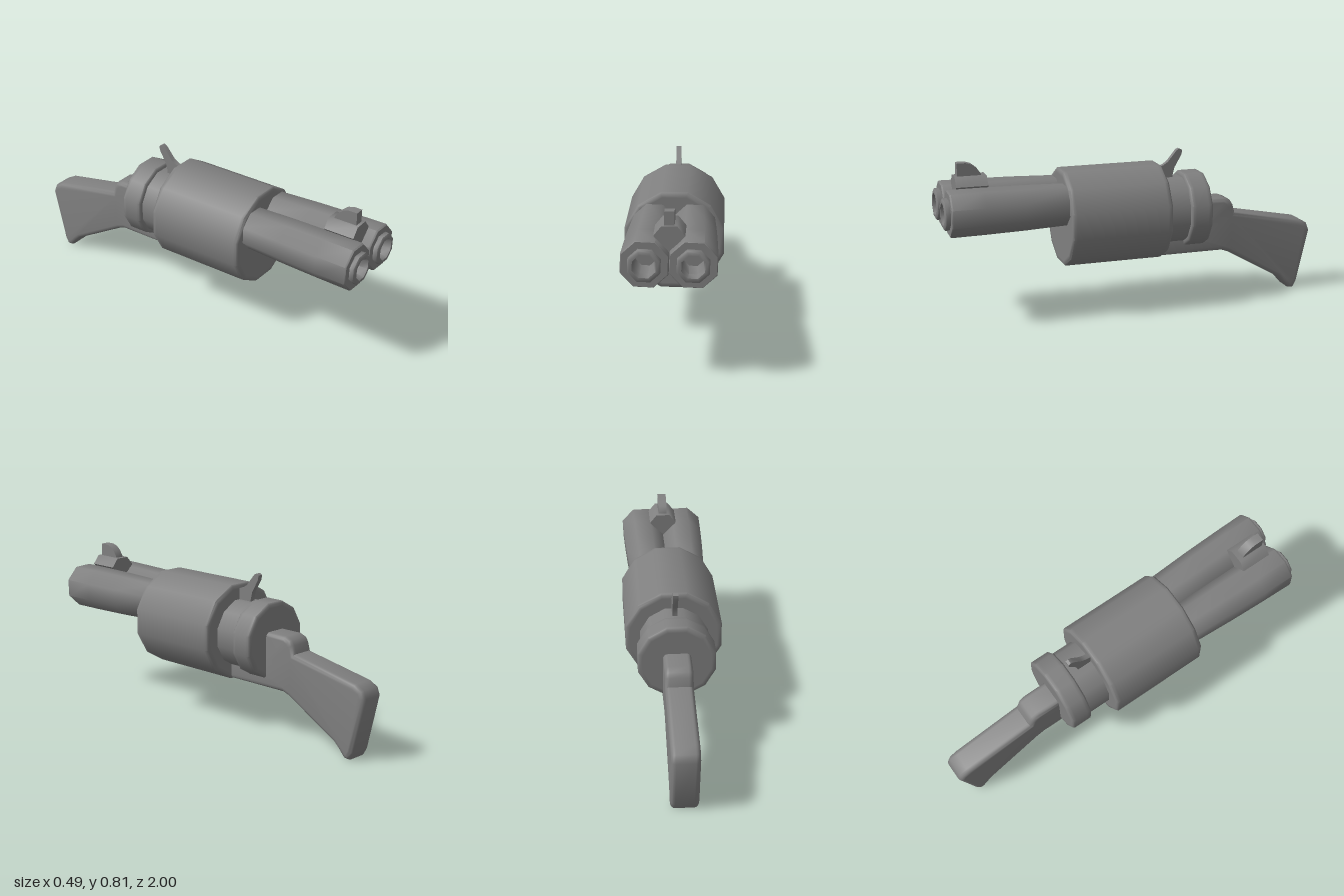
import * as THREE from 'three';
import { toCreasedNormals } from 'three/addons/utils/BufferGeometryUtils.js';

const material = new THREE.MeshStandardMaterial({ color: 0x808080 });

function addMesh(group, name, geometry, crease = 0.9) {
  const mesh = new THREE.Mesh(toCreasedNormals(geometry, crease), material);
  mesh.name = name;
  group.add(mesh);
  return mesh;
}

// Faceted solid turned around the z axis; profile is [flat radius, z], back to front
function turned(profile, sides) {
  const k = 1 / Math.cos(Math.PI / sides);
  const points = profile.map(([r, z]) => new THREE.Vector2(r * k, z));
  return new THREE.LatheGeometry(points, sides, Math.PI / sides).rotateX(Math.PI / 2);
}

// Softly bevelled disc; the extra rings keep the flat faces evenly shaded
function bevelledDisc(radius, back, front, bevel) {
  const inner = radius - 3 * bevel;
  return turned([
    [0, back], [inner, back], [radius - bevel, back], [radius, back + bevel],
    [radius, back + 3 * bevel], [radius, front - 3 * bevel],
    [radius, front - bevel], [radius - bevel, front], [inner, front], [0, front],
  ], 12);
}

function extruded(points, depth, bevel, segments = 1) {
  const shape = new THREE.Shape(points.map(([x, y]) => new THREE.Vector2(x, y)));
  return new THREE.ExtrudeGeometry(shape, {
    depth: depth - 2 * bevel, bevelEnabled: bevel > 0, bevelSize: bevel,
    bevelThickness: bevel, bevelOffset: -bevel, bevelSegments: segments,
  }).translate(0, 0, bevel - depth / 2);
}

// Side silhouette given as [z, y], centred on x = 0
function sidePlate(points, width, bevel, segments) {
  return extruded(points, width, bevel, segments).rotateY(-Math.PI / 2);
}

export function createModel() {
  const model = new THREE.Group();
  model.name = 'doubleBarrelGun';

  // Drum and the rear receiver discs
  addMesh(model, 'drum', bevelledDisc(0.244, -0.148, 0.38, 0.008)).position.y = 0.494;
  addMesh(model, 'receiverNeck', bevelledDisc(0.172, -0.29, -0.13, 0.004)).position.y = 0.487;
  addMesh(model, 'receiverCap', bevelledDisc(0.193, -0.385, -0.27, 0.008)).position.y = 0.486;

  // Twin flared barrels with raised muzzle rims and recessed bores
  for (const side of [-1, 1]) {
    const barrel = turned([
      [0, 0.34], [0.097, 0.34], [0.105, 0.6], [0.108, 0.8], [0.109, 0.964],
      [0.105, 0.972], [0.074, 0.972], [0.074, 0.994], [0.066, 1],
      [0.053, 1], [0.046, 0.96], [0.046, 0.85], [0, 0.85],
    ], 8).rotateZ(-0.04);
    // Lean the axis outward so the inner flats stay in contact
    const p = barrel.attributes.position;
    for (let i = 0; i < p.count; i++) {
      const t = Math.min(1, (p.getZ(i) - 0.34) / 0.6);
      p.setX(i, p.getX(i) + side * (0.098 + 0.012 * t));
    }
    addMesh(model, side > 0 ? 'leftBarrel' : 'rightBarrel', barrel, 0.8).position.y = 0.582;
  }

  // Front sight: wedge base between the barrels and a rounded blade
  addMesh(model, 'sightBase', extruded([
    [0, 0.62], [0.072, 0.7], [0.036, 0.745], [-0.036, 0.745], [-0.072, 0.7],
  ], 0.16, 0)).position.z = 0.84;
  addMesh(model, 'sightBlade', sidePlate([
    [0.905, 0.735], [0.905, 0.81], [0.86, 0.81], [0.83, 0.8],
    [0.805, 0.78], [0.785, 0.75], [0.785, 0.735],
  ], 0.046, 0), 0.6);

  // Hammer
  addMesh(model, 'hammer', sidePlate([
    [-0.14, 0.62], [-0.14, 0.715], [-0.175, 0.725], [-0.2, 0.742],
    [-0.248, 0.8], [-0.263, 0.808], [-0.277, 0.8], [-0.275, 0.778],
    [-0.236, 0.71], [-0.226, 0.67], [-0.226, 0.62],
  ], 0.026, 0), 0.7);

  // Stock, running forward beneath the receiver to the drum
  addMesh(model, 'stock', sidePlate([
    [-0.13, 0.252], [-0.49, 0.252], [-0.53, 0.238], [-0.82, 0.073],
    [-0.85, 0.045], [-0.885, 0.005], [-0.915, 0.002], [-0.935, 0.04],
    [-1, 0.32], [-0.984, 0.36], [-0.94, 0.384], [-0.562, 0.456],
    [-0.55, 0.498], [-0.535, 0.522], [-0.5, 0.536],
    [-0.3, 0.536], [-0.3, 0.36], [-0.13, 0.36],
  ], 0.14, 0.024, 4));

  return model;
}
